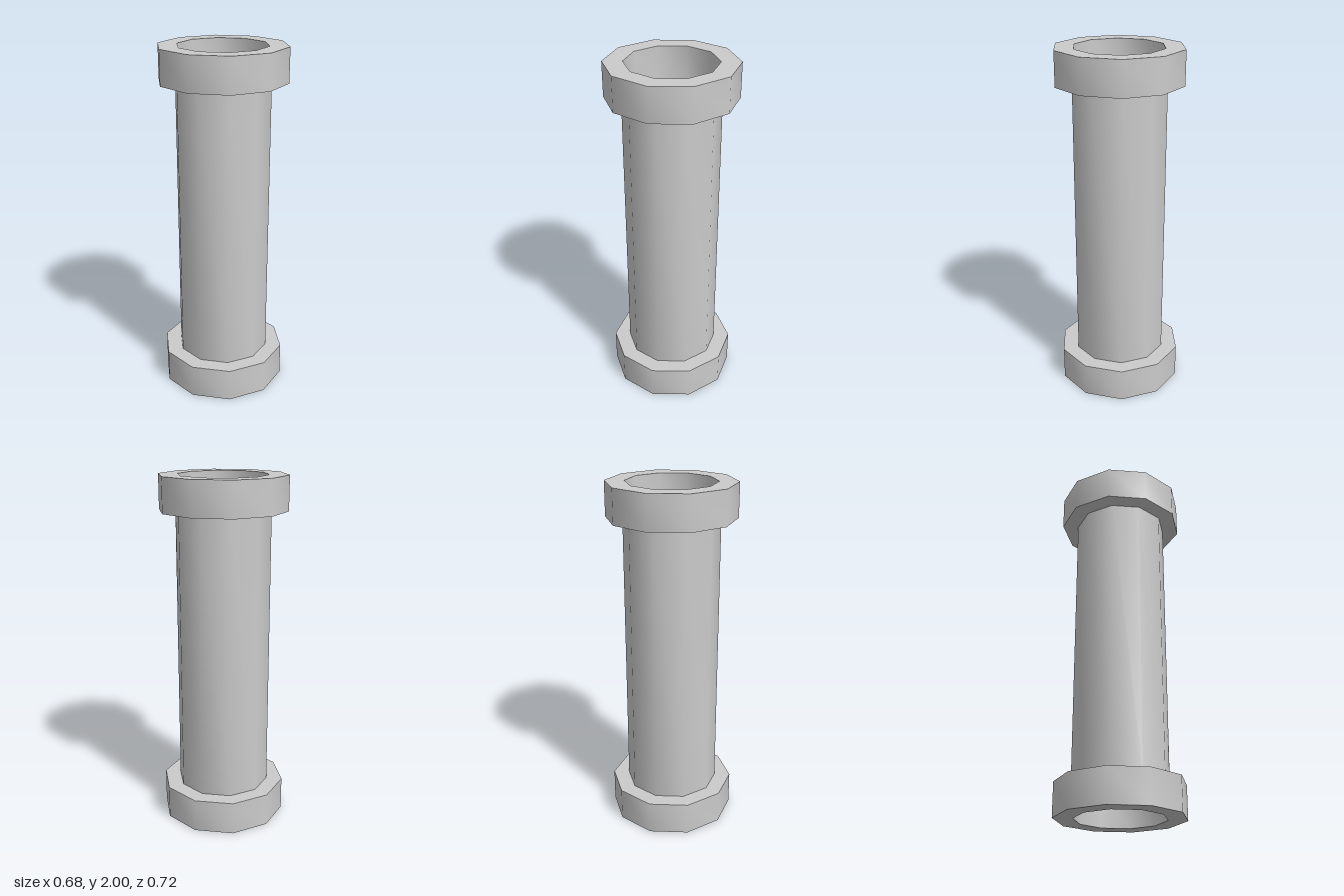
import * as THREE from 'three';
import { toCreasedNormals } from 'three/addons/utils/BufferGeometryUtils.js';

const SIDES = 10;
const BORE = 0.252;
const HEIGHT = 2;
const COLLAR = 0.193;

const material = new THREE.MeshStandardMaterial({ color: 0xcccccc });

// Hollow ten-sided ring with a rectangular wall, smooth around and sharp at the rims
function ring(name, outer, inner, bottom, top) {
  const profile = [
    [inner, bottom], [outer, bottom], [outer, top], [inner, top], [inner, bottom],
  ].map(([r, y]) => new THREE.Vector2(r, y));
  const geometry = toCreasedNormals(new THREE.LatheGeometry(profile, SIDES), 0.7);
  const mesh = new THREE.Mesh(geometry, material);
  mesh.name = name;
  return mesh;
}

export function createModel() {
  const model = new THREE.Group();
  model.name = 'collaredPipe';
  model.add(
    // Wide collars at both ends
    ring('bottomCollar', 0.36, BORE, 0, COLLAR),
    ring('topCollar', 0.36, BORE, HEIGHT - COLLAR, HEIGHT),
    // Slim pipe between them
    ring('pipe', 0.267, BORE, COLLAR, HEIGHT - COLLAR),
  );
  return model;
}
